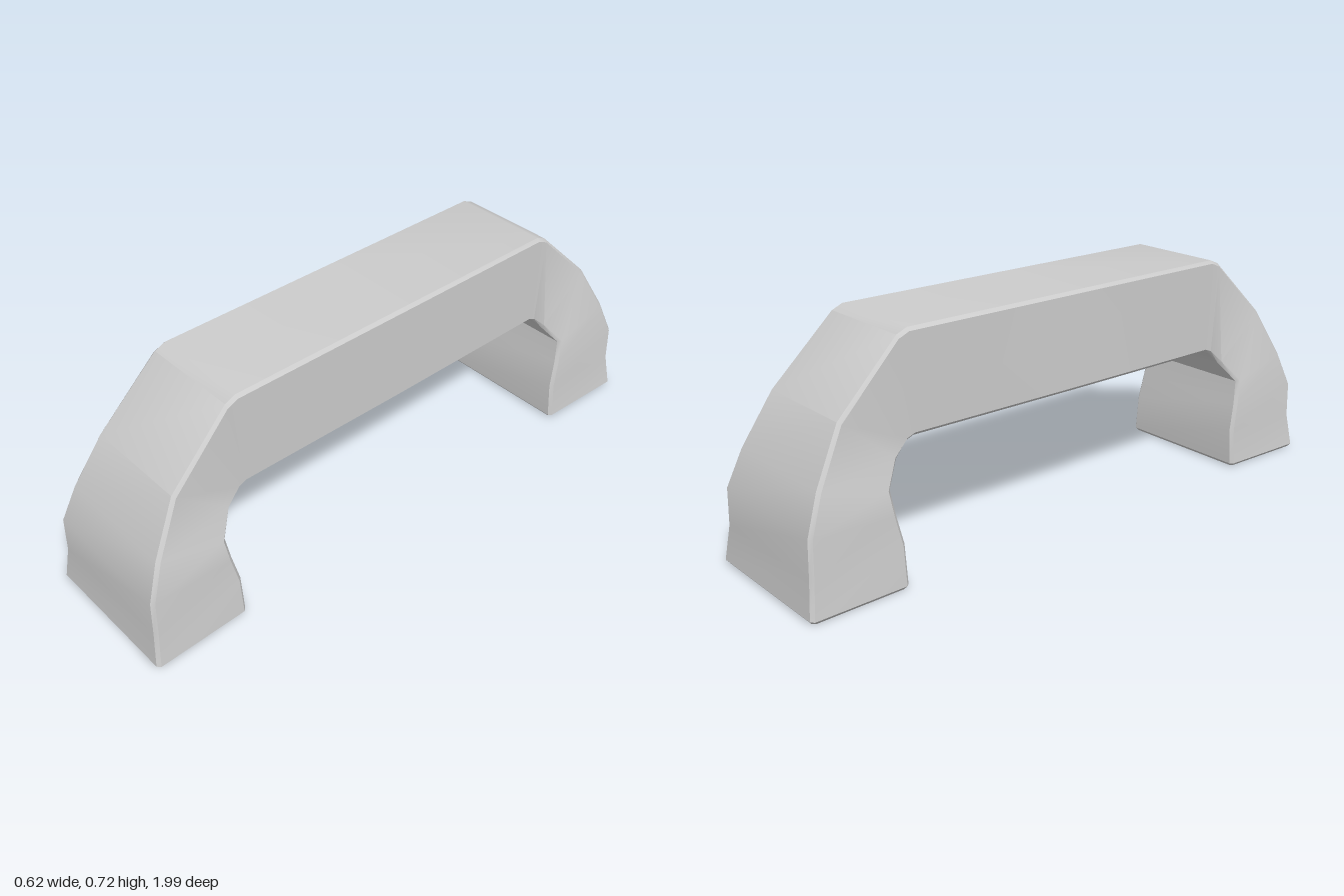
import * as THREE from 'three';
import { toCreasedNormals } from 'three/addons/utils/BufferGeometryUtils.js';

// Half of the handle, from mid-bar to foot: outer z, y, half width; inner z, y, half width
const HALF = [
  [0, 0.72, 0.17, 0, 0.41, 0.17],
  [0.595, 0.72, 0.17, 0.585, 0.41, 0.167],
  [0.63, 0.705, 0.17, 0.61, 0.4, 0.167],
  [0.83, 0.51, 0.18, 0.65, 0.36, 0.175],
  [0.92, 0.35, 0.21, 0.7, 0.295, 0.215],
  [0.965, 0.235, 0.23, 0.688, 0.22, 0.222],
  [0.968, 0.12, 0.23, 0.668, 0.13, 0.228],
  [0.982, 0.01, 0.245, 0.666, 0.01, 0.237],
  [0.974, 0, 0.237, 0.674, 0, 0.229],
];
const BEVEL = 0.01;

// Rectangular section with bevelled corners, spanned between its inner and outer edge
function ring([oz, oy, ow, iz, iy, iw], side) {
  const outer = new THREE.Vector3(0, oy, oz * side);
  const inner = new THREE.Vector3(0, iy, iz * side);
  const step = outer.clone().sub(inner).setLength(BEVEL);
  const low = inner.clone().add(step);
  const high = outer.clone().sub(step);
  const at = (p, x) => new THREE.Vector3(x, p.y, p.z);
  return [
    at(low, iw), at(high, ow), at(outer, ow - BEVEL), at(outer, BEVEL - ow),
    at(high, -ow), at(low, -iw), at(inner, BEVEL - iw), at(inner, iw - BEVEL),
  ];
}

// Skin consecutive rings and close both ends
function loft(rings) {
  const pos = [];
  const tri = (...points) => points.forEach((p) => pos.push(p.x, p.y, p.z));
  const n = rings[0].length;
  for (let i = 0; i < rings.length - 1; i++) {
    for (let j = 0; j < n; j++) {
      const k = (j + 1) % n;
      const a = rings[i], b = rings[i + 1];
      tri(a[j], a[k], b[k]);
      tri(a[j], b[k], b[j]);
    }
  }
  const first = rings[0], last = rings[rings.length - 1];
  for (let j = 1; j < n - 1; j++) {
    tri(first[0], first[j + 1], first[j]);
    tri(last[0], last[j], last[j + 1]);
  }
  const geometry = new THREE.BufferGeometry();
  geometry.setAttribute('position', new THREE.Float32BufferAttribute(pos, 3));
  return toCreasedNormals(geometry, 0.68);
}

export function createModel() {
  const group = new THREE.Group();
  group.name = 'pullHandle';

  // Back foot, grip bar and front foot as one continuous body
  const back = HALF.slice(1).reverse().map((s) => ring(s, -1));
  const front = HALF.map((s) => ring(s, 1));
  const handle = new THREE.Mesh(
    loft([...back, ...front]),
    new THREE.MeshStandardMaterial({ color: 0xcccccc })
  );
  handle.name = 'handleBody';
  handle.rotation.y = 0.068; // sits slightly turned
  group.add(handle);
  return group;
}
